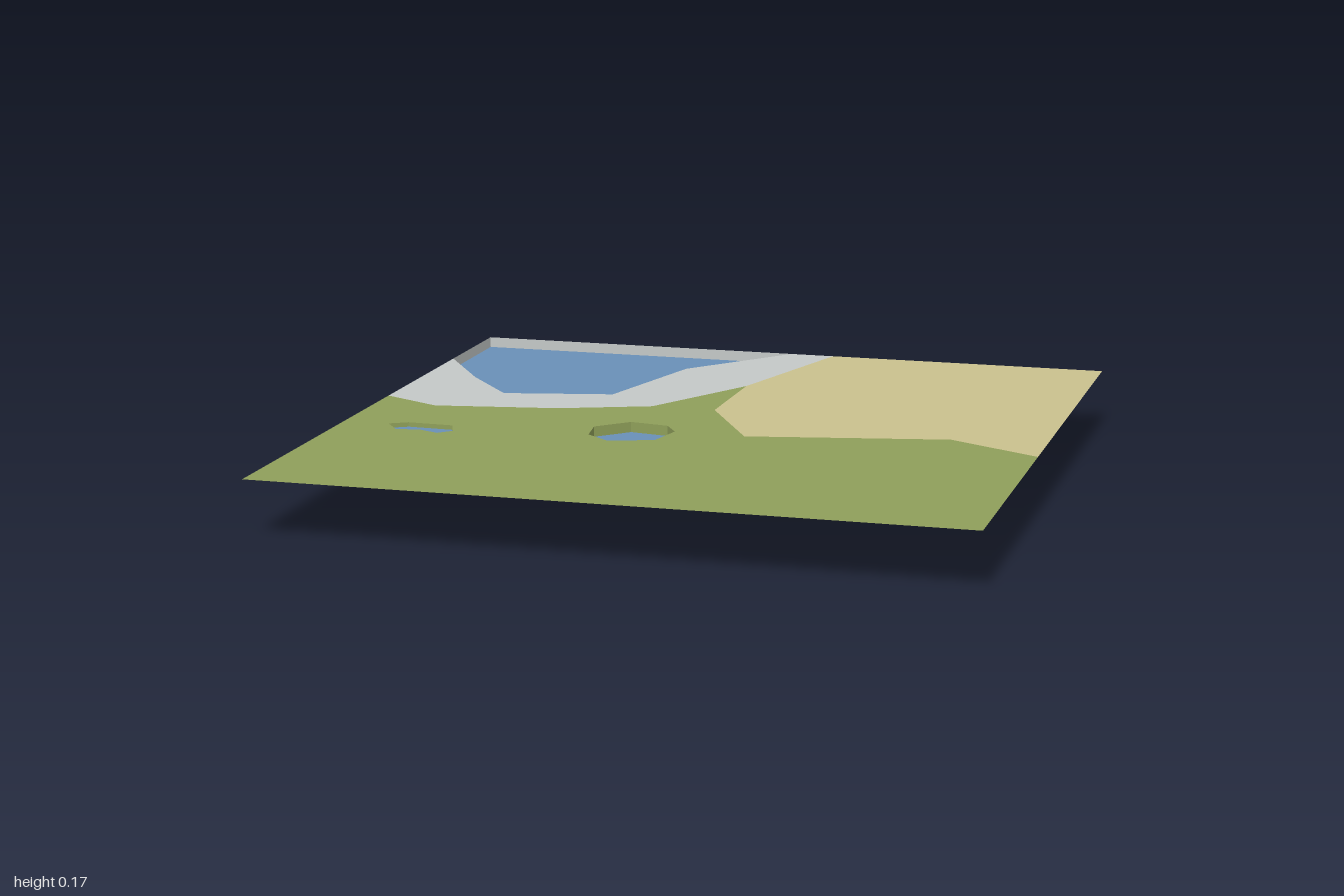
import * as THREE from 'three';

const GROUND = 0.17;

function paint(name, hex) {
  const m = new THREE.MeshStandardMaterial({ color: hex, side: THREE.DoubleSide });
  m.name = name;
  return m;
}

// Flat horizontal sheet from [x, z] outlines
function sheet(name, outline, y, material, holes = []) {
  const points = (list) => list.map(([x, z]) => new THREE.Vector2(x, -z));
  const shape = new THREE.Shape(points(outline));
  for (const hole of holes) shape.holes.push(new THREE.Path(points(hole)));
  const geometry = new THREE.ShapeGeometry(shape);
  geometry.rotateX(-Math.PI / 2);
  geometry.translate(0, y, 0);
  const mesh = new THREE.Mesh(geometry, material);
  mesh.name = name;
  return mesh;
}

// Faceted band joining two loops with the same number of points
function band(name, top, topY, bottom, bottomY, material) {
  const positions = [];
  top.forEach((a, i) => {
    const j = (i + 1) % top.length;
    const a0 = [a[0], topY, a[1]];
    const a1 = [top[j][0], topY, top[j][1]];
    const b0 = [bottom[i][0], bottomY, bottom[i][1]];
    const b1 = [bottom[j][0], bottomY, bottom[j][1]];
    positions.push(...a0, ...a1, ...b0, ...a1, ...b1, ...b0);
  });
  const geometry = new THREE.BufferGeometry();
  geometry.setAttribute('position', new THREE.Float32BufferAttribute(positions, 3));
  geometry.computeVertexNormals();
  const mesh = new THREE.Mesh(geometry, material);
  mesh.name = name;
  return mesh;
}

// Sunken basin: upright bank, sloping bed, flat floor and water surface
function basin(name, rim, inner, { bankY, floorY, waterY }, bank, bed, water) {
  const group = new THREE.Group();
  group.name = name;
  group.add(
    band(name + 'Bank', rim, GROUND, rim, bankY, bank),
    band(name + 'Slope', rim, bankY, inner, floorY, bed),
    sheet(name + 'Floor', inner, floorY, bed),
    sheet(name + 'Water', rim, waterY, water),
  );
  return group;
}

// Loop shrunk towards its centre
function shrink(loop, amount) {
  const cx = loop.reduce((s, p) => s + p[0], 0) / loop.length;
  const cz = loop.reduce((s, p) => s + p[1], 0) / loop.length;
  return loop.map(([x, z]) => [cx + (x - cx) * amount, cz + (z - cz) * amount]);
}

export function createModel() {
  const grass = paint('grass', 0x8f9f5a);
  const sand = paint('sand', 0xc9c18e);
  const stone = paint('stone', 0xc4c8c7);
  const water = paint('water', 0x6990b7);
  const mud = paint('mud', 0xbfb08c);

  // Shorelines, each running clockwise from the back left
  const lake = [[-1, -1], [0.01, -1], [-0.25, -0.69], [-0.36, -0.275],
    [-0.68, -0.205], [-0.84, -0.4], [-1, -0.645]];
  const lakeFloor = [[-0.86, -0.86], [-0.29, -0.86], [-0.39, -0.64], [-0.46, -0.38],
    [-0.63, -0.35], [-0.74, -0.46], [-0.86, -0.66]];
  const pond = [[-0.2, 0.065], [-0.085, 0.085], [-0.045, 0.15], [-0.07, 0.265],
    [-0.195, 0.31], [-0.27, 0.25], [-0.285, 0.15]];
  const puddle = [[-0.865, 0.27], [-0.815, 0.24], [-0.68, 0.245], [-0.655, 0.31],
    [-0.69, 0.345], [-0.75, 0.32], [-0.82, 0.33]];

  // Borders between the kinds of ground
  const stoneEdge = [[-1, -0.08], [-0.82, -0.01 + 0.02], [-0.46, -0.05], [-0.2, -0.15], [-0.005, -0.495]];
  const sandEdge = [[-0.01, -0.15], [0.16, 0.155], [0.73, 0.04], [1, 0.18]];
  const backEdge = [0.145, -1];

  const model = new THREE.Group();
  model.name = 'landscape';
  model.add(
    sheet('grassField', [...stoneEdge, ...sandEdge, [1, 1], [-1, 1]], GROUND, grass, [pond, puddle]),
    sheet('sandField', [backEdge, stoneEdge[4], ...sandEdge, [1, -1]], GROUND, sand),
    sheet('stoneShore', [...stoneEdge, backEdge, ...lake.slice(1)], GROUND, stone),
    basin('lake', lake, lakeFloor, { bankY: 0.04, floorY: 0, waterY: 0.138 }, stone, mud, water),
    basin('pond', pond, shrink(pond, 0.8), { bankY: 0.115, floorY: 0.105, waterY: 0.14 }, grass, mud, water),
    basin('puddle', puddle, shrink(puddle, 0.85), { bankY: 0.152, floorY: 0.148, waterY: 0.157 }, grass, mud, water),
  );
  return model;
}
